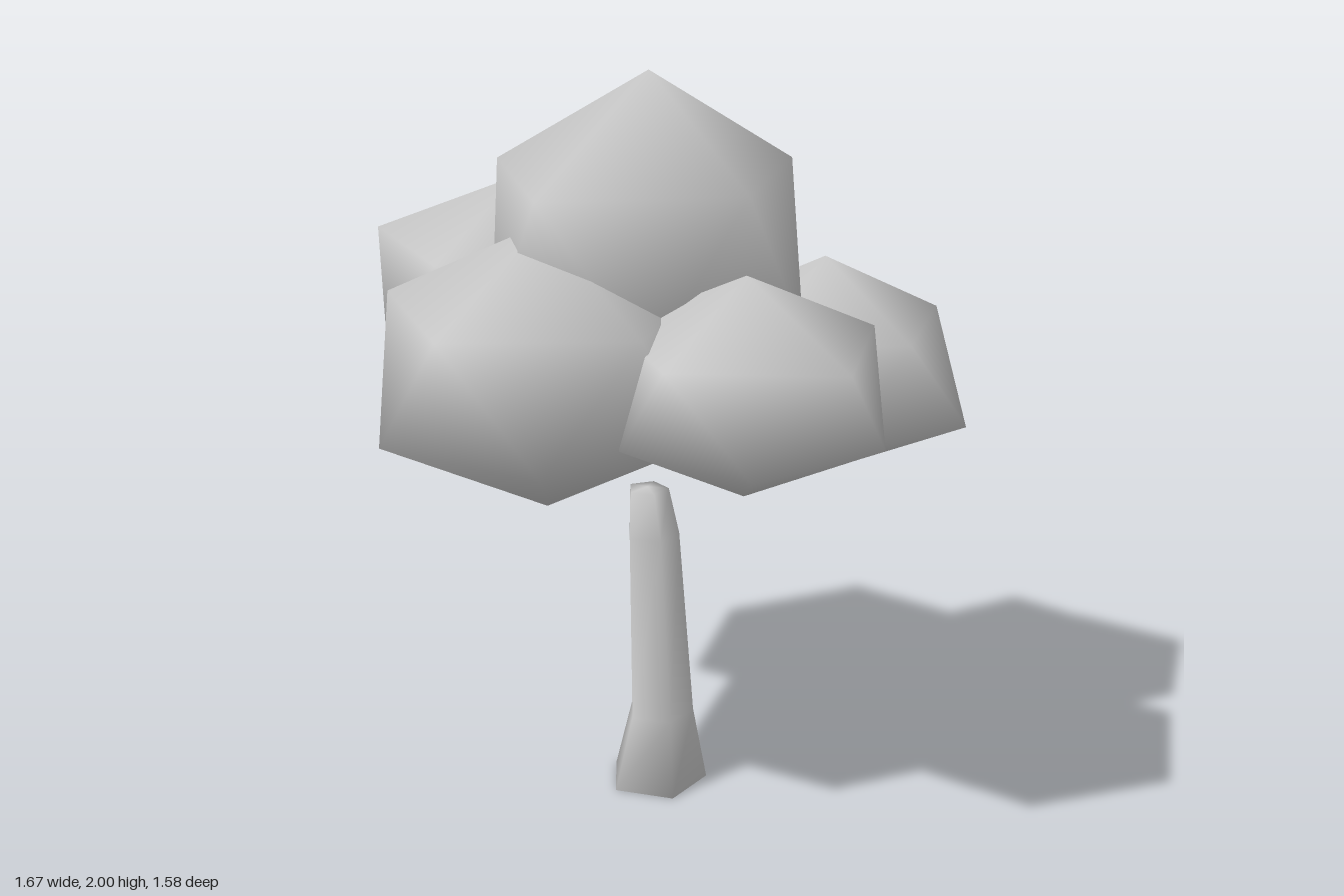
import * as THREE from 'three';

const SIDES = 5;
const STEP = (Math.PI * 2) / SIDES;

// One horizontal ring of five points; radius is a number or one value per corner.
function ring(cx, y, cz, radius, startDeg) {
  const start = THREE.MathUtils.degToRad(startDeg);
  return Array.from({ length: SIDES }, (_, i) => {
    const r = Array.isArray(radius) ? radius[i] : radius;
    return [cx + r * Math.cos(start + i * STEP), y, cz + r * Math.sin(start + i * STEP)];
  });
}

// Closed smooth skin over rings listed from bottom to top, with a pole at each end.
function skin(bottom, rings, top) {
  const points = [bottom, ...rings.flat(), top];
  const last = points.length - 1;
  const at = (r, j) => 1 + r * SIDES + (j % SIDES);
  const index = [];
  for (let j = 0; j < SIDES; j++) {
    index.push(0, at(0, j), at(0, j + 1));
    for (let r = 0; r < rings.length - 1; r++) {
      index.push(at(r, j), at(r + 1, j), at(r, j + 1));
      index.push(at(r + 1, j), at(r + 1, j + 1), at(r, j + 1));
    }
    index.push(last, at(rings.length - 1, j + 1), at(rings.length - 1, j));
  }
  const geometry = new THREE.BufferGeometry();
  geometry.setAttribute('position', new THREE.Float32BufferAttribute(points.flat(), 3));
  geometry.setIndex(index);
  geometry.computeVertexNormals();
  return geometry;
}

// Leaf clump: an uneven icosahedron standing on its pole.
function clump({ c: [x, y, z], h, low, high }) {
  return skin(
    [x, y - h, z],
    [ring(x, y - 0.447 * h, z, low, 36), ring(x, y + 0.447 * h, z, high, 72)],
    [x, y + h, z]
  );
}

export function createModel() {
  const tree = new THREE.Group();
  tree.name = 'tree';
  const grey = new THREE.MeshStandardMaterial({ color: 0xcccccc });
  grey.name = 'light grey';

  const add = (name, geometry) => {
    const mesh = new THREE.Mesh(geometry, grey);
    mesh.name = name;
    tree.add(mesh);
  };

  // Trunk: flared foot, slight lean, narrowed top
  add('trunk', skin(
    [0.027, 0, 0.034],
    [
      ring(0.027, 0, 0.034, 0.141, 90),
      ring(0.031, 0.21, 0.026, 0.094, 90),
      ring(-0.004, 0.73, 0.026, 0.075, 90),
      ring(-0.022, 0.855, 0.027, 0.058, 90),
    ],
    [-0.022, 0.86, 0.027]
  ));

  // Crown: centre, half height, and corner radii of the lower and upper rings
  const clumps = {
    topLeaves: {
      c: [-0.01, 1.54, 0.03], h: 0.46,
      low: [0.37, 0.43, 0.43, 0.41, 0.42], high: [0.48, 0.42, 0.45, 0.4, 0.416],
    },
    frontLeaves: {
      c: [0, 1.27, 0.37], h: 0.38,
      low: [0.39, 0.44, 0.43, 0.42, 0.41], high: [0.427, 0.432, 0.42, 0.42, 0.422],
    },
    backLeaves: {
      c: [0.12, 1.148, -0.47], h: 0.312,
      low: [0.36, 0.355, 0.365, 0.33, 0.405], high: [0.35, 0.35, 0.33, 0.34, 0.35],
    },
    rightLeaves: {
      c: [-0.43, 1.35, 0.15], h: 0.32,
      low: [0.37, 0.387, 0.405, 0.38, 0.37], high: [0.369, 0.43, 0.393, 0.375, 0.37],
    },
    leftLeaves: {
      c: [0.434, 1.268, 0.06], h: 0.29,
      low: [0.345, 0.335, 0.34, 0.345, 0.361], high: [0.356, 0.35, 0.35, 0.348, 0.397],
    },
  };
  for (const [name, spec] of Object.entries(clumps)) add(name, clump(spec));

  return tree;
}
